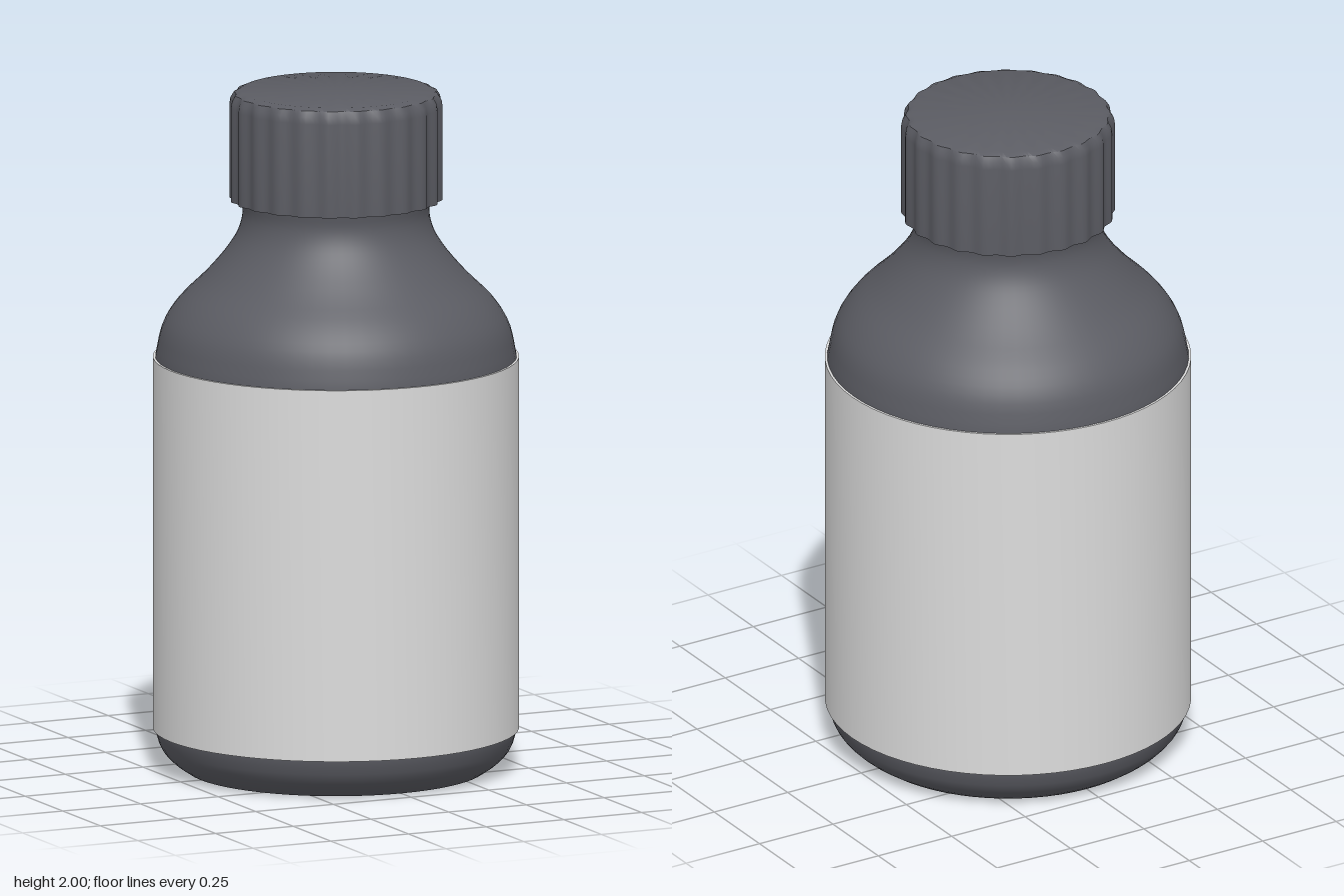
import * as THREE from 'three';
import { mergeVertices, toCreasedNormals } from 'three/addons/utils/BufferGeometryUtils.js';

const SEGMENTS = 64;
const RIBS = 24;

// Smooth curve through a few [radius, height] points
function smooth(points, count) {
  const curve = new THREE.CatmullRomCurve3(points.map(([r, y]) => new THREE.Vector3(r, y, 0)), false, 'centripetal');
  return curve.getPoints(count).map((p) => [p.x, p.y]);
}

// Revolve a profile, given from bottom to top
function lathe(profile, segments = SEGMENTS) {
  return new THREE.LatheGeometry(profile.map(([r, y]) => new THREE.Vector2(r, y)), segments);
}

// Weld the seam, then keep only the sharp edges sharp
function crease(geometry, angle) {
  geometry.deleteAttribute('uv');
  geometry.deleteAttribute('normal');
  return toCreasedNormals(mergeVertices(geometry), angle);
}

export function createModel() {
  const bottleMaterial = new THREE.MeshStandardMaterial({ color: 0x5b5c63 });
  bottleMaterial.name = 'dark grey plastic';
  const labelMaterial = new THREE.MeshStandardMaterial({ color: 0xdcdcdc });
  labelMaterial.name = 'light grey paper';

  const group = new THREE.Group();
  group.name = 'bottle';
  const add = (name, geometry, material) => {
    const mesh = new THREE.Mesh(geometry, material);
    mesh.name = name;
    group.add(mesh);
  };

  // Body: flat base, rounded foot, straight wall, sloping shoulder and neck
  const foot = smooth([[0.435, 0], [0.475, 0.028], [0.507, 0.065], [0.525, 0.12]], 8);
  const shoulder = smooth([
    [0.525, 1.21], [0.502, 1.31], [0.458, 1.38], [0.378, 1.46],
    [0.315, 1.535], [0.283, 1.59], [0.271, 1.64], [0.277, 1.69],
  ], 24);
  add('body', crease(lathe([[0, 0], ...foot, ...shoulder]), 0.6), bottleMaterial);

  // Label: thin sleeve around the straight wall
  const label = lathe([[0.522, 0.12], [0.531, 0.12], [0.531, 1.215], [0.522, 1.215]]);
  add('label', crease(label, 0.6), labelMaterial);

  // Cap: ribbed skirt fading into a bevelled, smooth top
  const cap = lathe([
    [0, 1.68], [0.305, 1.68], [0.305, 1.955], [0.302, 1.975],
    [0.293, 1.992], [0.275, 2], [0, 2],
  ], RIBS * 6);
  const position = cap.attributes.position;
  for (let i = 0; i < position.count; i++) {
    const x = position.getX(i), z = position.getZ(i);
    const depth = 0.005 * THREE.MathUtils.smoothstep(Math.hypot(x, z), 0.275, 0.305);
    const scale = 1 + (depth / 0.305) * Math.cos(RIBS * Math.atan2(x, z));
    position.setX(i, x * scale);
    position.setZ(i, z * scale);
  }
  add('cap', crease(cap, 0.6), bottleMaterial);

  return group;
}
